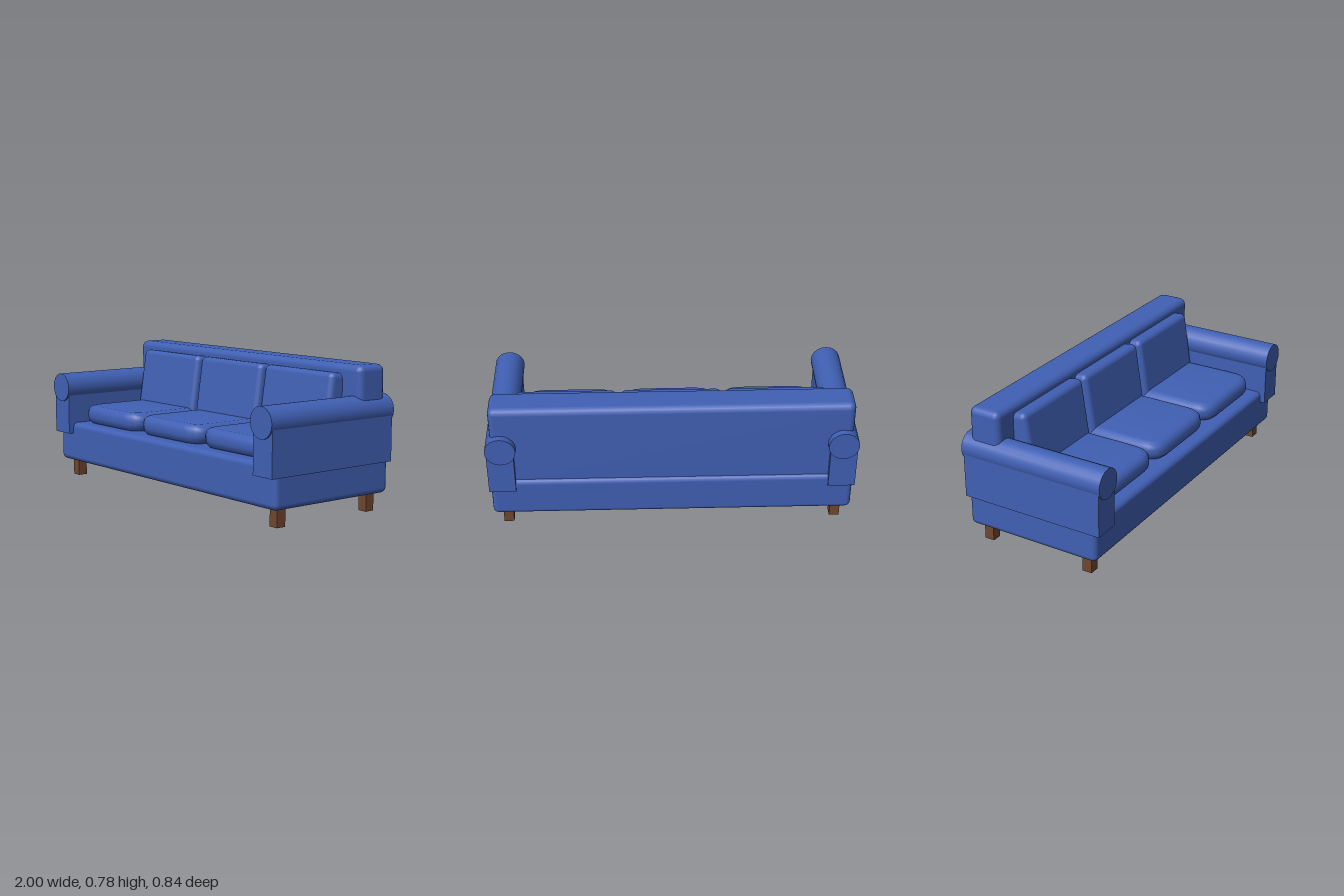
import * as THREE from 'three';
import { RoundedBoxGeometry } from 'three/addons/geometries/RoundedBoxGeometry.js';
import { toCreasedNormals } from 'three/addons/utils/BufferGeometryUtils.js';

export function createModel() {
  const sofa = new THREE.Group();
  sofa.name = 'sofa';
  const fabric = new THREE.MeshStandardMaterial({ color: 0x4060b4 });
  fabric.name = 'blue fabric';
  const wood = new THREE.MeshStandardMaterial({ color: 0x6f462e });
  wood.name = 'brown wood';

  function add(name, geometry, material, x, y, z) {
    const mesh = new THREE.Mesh(geometry, material);
    mesh.name = name;
    mesh.position.set(x, y, z);
    sofa.add(mesh);
    return mesh;
  }

  // Soft box given by its limits in y and z, centred on x
  function softBox(name, width, y0, y1, z0, z1, radius) {
    const geometry = new RoundedBoxGeometry(width, y1 - y0, z1 - z0, 2, radius);
    return add(name, geometry, fabric, 0, (y0 + y1) / 2, (z0 + z1) / 2);
  }

  // Flat cushion lying on y = 0, rounded in plan and along its rim
  function seatCushionGeometry(width, depth, height, radius, bevel) {
    const w = width / 2, d = depth / 2, r = radius;
    const shape = new THREE.Shape();
    shape.moveTo(-w + r, -d);
    shape.lineTo(w - r, -d);
    shape.quadraticCurveTo(w, -d, w, -d + r);
    shape.lineTo(w, d - r);
    shape.quadraticCurveTo(w, d, w - r, d);
    shape.lineTo(-w + r, d);
    shape.quadraticCurveTo(-w, d, -w, d - r);
    shape.lineTo(-w, -d + r);
    shape.quadraticCurveTo(-w, -d, -w + r, -d);
    const geometry = new THREE.ExtrudeGeometry(shape, {
      depth: height - 2 * bevel, curveSegments: 4, bevelEnabled: true,
      bevelSize: bevel, bevelOffset: -bevel, bevelThickness: bevel, bevelSegments: 3,
    });
    geometry.translate(0, 0, bevel);
    geometry.rotateX(-Math.PI / 2);
    return toCreasedNormals(geometry, 0.7);
  }

  // Base and backrest
  softBox('base', 1.97, 0.097, 0.328, -0.402, 0.384, 0.03);
  softBox('backrest', 1.945, 0.26, 0.78, -0.385, -0.2, 0.036);

  // Seat and back cushions
  const seat = seatCushionGeometry(0.55, 0.55, 0.108, 0.12, 0.042);
  const back = new RoundedBoxGeometry(0.546, 0.37, 0.15, 2, 0.032);
  for (const x of [-0.567, 0, 0.567]) {
    add('seatCushion', seat, fabric, x, 0.325, 0.056);
    add('backCushion', back, fabric, x, 0.548, -0.178).rotation.x = -0.15;
  }

  // Rolled arms
  const roll = new THREE.CylinderGeometry(0.083, 0.083, 0.844, 20).rotateX(Math.PI / 2);
  const panel = new THREE.BoxGeometry(0.146, 0.27, 0.827);
  const leg = new THREE.BoxGeometry(0.055, 0.11, 0.055);
  for (const side of [-1, 1]) {
    add('armPanel', panel, fabric, side * 0.921, 0.4, 0);
    add('armRoll', roll, fabric, side * 0.917, 0.537, 0);
    // Legs
    for (const z of [0.301, -0.319]) add('leg', leg, wood, side * 0.908, 0.055, z);
  }
  return sofa;
}
